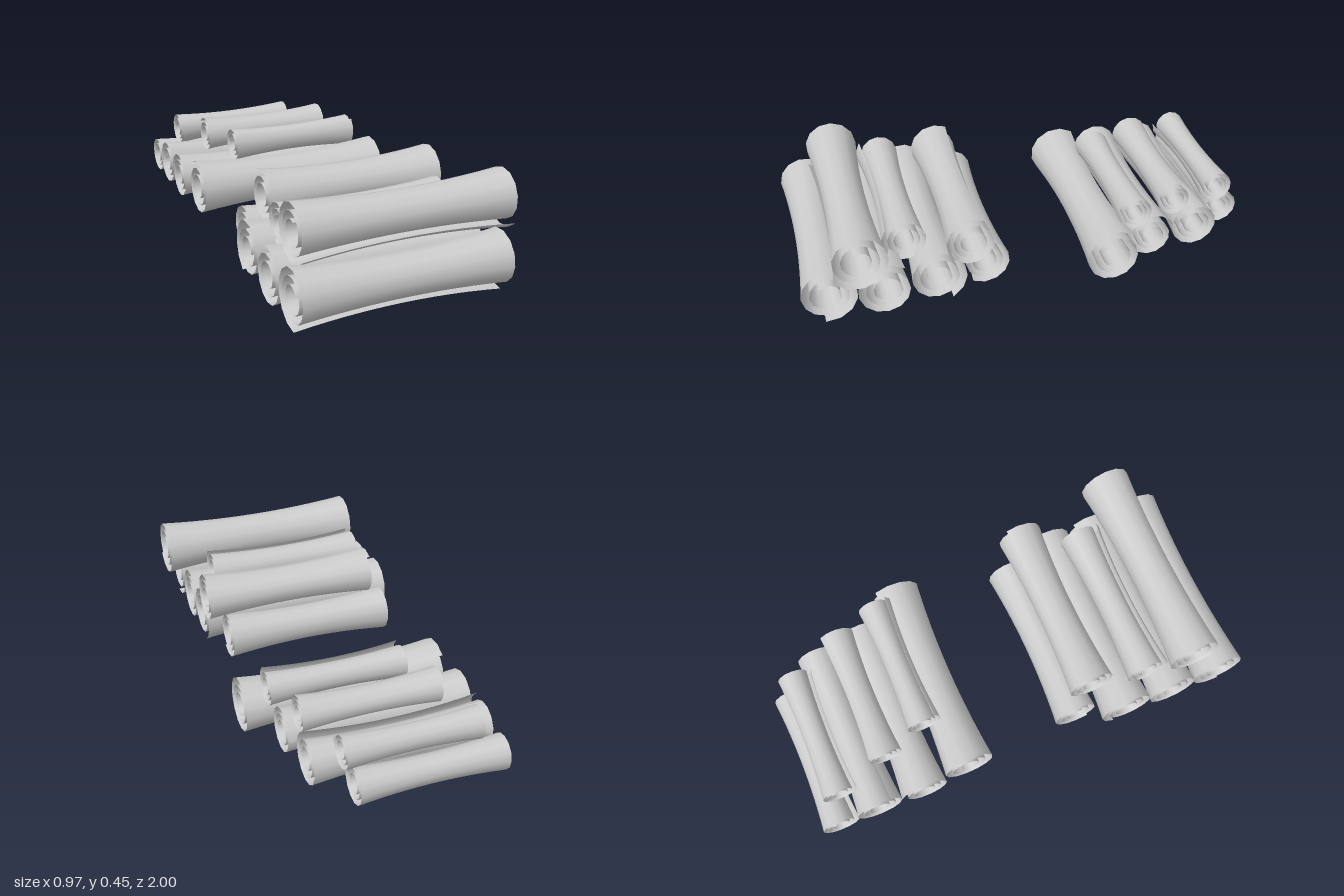
import * as THREE from 'three';
import { ParametricGeometry } from 'three/addons/geometries/ParametricGeometry.js';

const TURNS = 2.7, SIDES = 13, PITCH = 0.25, WAIST = 0.8;
const STEPS = Math.round(TURNS * SIDES);

// Point on the unit spiral, t = 0 at the loose outer edge, t = 1 at the core
function spiral(t, start) {
  const r = 1 - PITCH * TURNS * t;
  const a = start + t * TURNS * Math.PI * 2;
  return new THREE.Vector2(-r * Math.cos(a), r * Math.sin(a)); // (z, y)
}

// One rolled sheet along x, pinched towards the middle
function rolledSheet(x0, x1, z, y, radius, degrees, material) {
  const start = THREE.MathUtils.degToRad(degrees);
  const box = new THREE.Box2();
  for (let i = 0; i <= STEPS; i++) box.expandByPoint(spiral(i / STEPS, start));
  const size = box.getSize(new THREE.Vector2());
  const mid = box.getCenter(new THREE.Vector2());
  const scale = (4 * radius) / (size.x + size.y);

  const geometry = new ParametricGeometry((u, v, target) => {
    const p = spiral(u, start);
    const k = 2 * v - 1;
    const pinch = WAIST + (1 - WAIST) * k * k;
    target.set(
      THREE.MathUtils.lerp(x0, x1, v),
      y + scale * (p.y * pinch - mid.y),
      z + scale * (p.x * pinch - mid.x)
    );
  }, STEPS, 12);
  return new THREE.Mesh(geometry, material);
}

// Each scroll: x start, x end, z, y, radius, angle of the loose edge
const piles = {
  frontPile: {
    lowerScroll: [
      [-0.485, 0.4, 0.885, 0.125, 0.119, 262],
      [-0.485, 0.4, 0.66, 0.118, 0.112, 50],
      [-0.485, 0.4, 0.428, 0.135, 0.115, 298],
      [-0.418, 0.335, 0.21, 0.119, 0.097, 238],
    ],
    upperScroll: [
      [-0.432, 0.483, 0.755, 0.328, 0.116, 220],
      [-0.4, 0.31, 0.556, 0.275, 0.09, 142],
      [-0.365, 0.413, 0.3, 0.298, 0.102, 60],
    ],
  },
  backPile: {
    lowerScroll: [
      [-0.445, 0.44, -0.315, 0.125, 0.114, 52],
      [-0.47, 0.328, -0.535, 0.115, 0.101, 10],
      [-0.465, 0.3, -0.74, 0.11, 0.1, 125],
      [-0.462, 0.17, -0.92, 0.09, 0.08, 165],
    ],
    upperScroll: [
      [-0.233, 0.36, -0.432, 0.263, 0.073, 132],
      [-0.3, 0.296, -0.635, 0.264, 0.074, 38],
      [-0.367, 0.206, -0.872, 0.228, 0.073, 172],
    ],
  },
};

export function createModel() {
  const model = new THREE.Group();
  model.name = 'scrollPiles';
  const paper = new THREE.MeshStandardMaterial({ color: 0xcccccc, side: THREE.DoubleSide });

  for (const [pileName, rows] of Object.entries(piles)) {
    const pile = new THREE.Group();
    pile.name = pileName;
    for (const [name, scrolls] of Object.entries(rows)) {
      scrolls.forEach((s, i) => {
        const scroll = rolledSheet(...s, paper);
        scroll.name = name + (i + 1);
        pile.add(scroll);
      });
    }
    model.add(pile);
  }
  return model;
}
